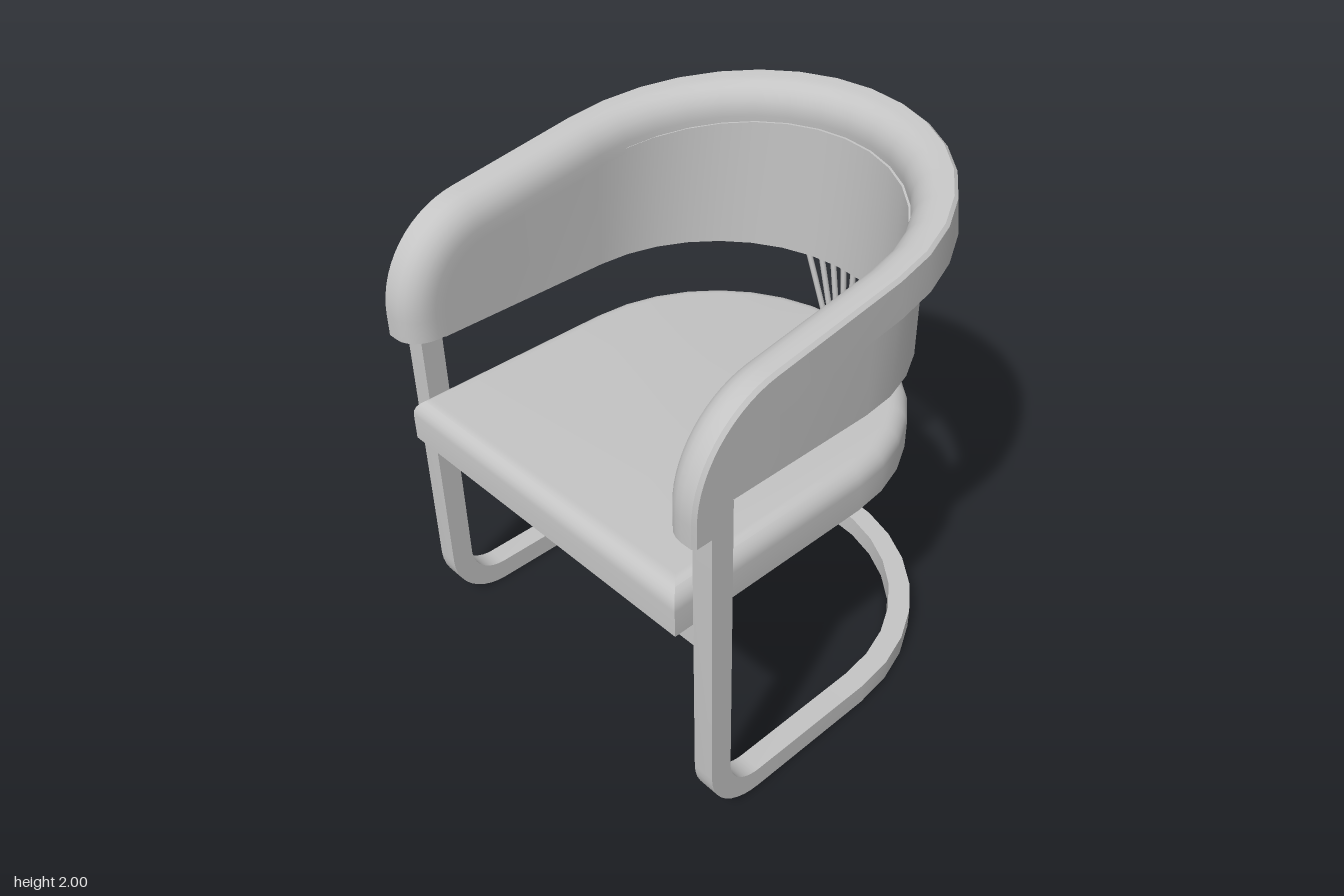
import * as THREE from 'three';
import { toCreasedNormals } from 'three/addons/utils/BufferGeometryUtils.js';

const V = (x, y, z) => new THREE.Vector3(x, y, z);
const CZ = -0.03; // centre of the rounded back in plan
const ARC = 16; // segments around the back
const HALF = Math.PI / 2;

// Skin a row of convex rings, close both ends and face everything outwards
function loft(rings) {
  const n = rings[0].length, tris = [];
  for (let i = 0; i < rings.length - 1; i++) {
    for (let j = 0; j < n; j++) {
      const k = (j + 1) % n;
      const a = rings[i][j], b = rings[i][k], c = rings[i + 1][k], d = rings[i + 1][j];
      tris.push([a, b, c], [a, c, d]);
    }
  }
  const first = rings[0], last = rings[rings.length - 1];
  for (let j = 1; j < n - 1; j++) {
    tris.push([first[0], first[j + 1], first[j]], [last[0], last[j], last[j + 1]]);
  }
  let volume = 0;
  for (const [a, b, c] of tris) volume += a.dot(b.clone().cross(c));
  if (volume < 0) tris.forEach((t) => t.reverse());
  const geometry = new THREE.BufferGeometry().setFromPoints(tris.flat());
  return toCreasedNormals(geometry, 0.6);
}

// Stations run down one side, round the back and up the other side.
// Each has an origin (z, y), a normal angle phi and a plan angle a.
function stations(side) {
  const list = side.map((s) => ({ ...s, a: HALF }));
  const end = side[side.length - 1];
  for (let i = 1; i < ARC; i++) list.push({ ...end, a: HALF - (Math.PI * i) / ARC });
  return list.concat(side.map((s) => ({ ...s, a: -HALF })).reverse());
}

// Sweep a section of (radius, height) points; dir is +1 for upward paths, -1 for downward
function sweep(side, section, dir) {
  return loft(stations(side).map(({ z, y, phi, a }) => section.map(([r, n]) => {
    const c = Math.cos(phi), s = Math.sin(phi), t = r * Math.cos(a) * dir;
    return V(r * Math.sin(a), y + c * t + s * n, z - s * t + c * n);
  })));
}

// A bend of the side path around (z, y)
function bend(z, y, radius, toPhi, steps) {
  return Array.from({ length: steps + 1 }, (_, i) => {
    const phi = (toPhi * i) / steps;
    return { z: z + radius * Math.cos(phi), y: y + radius * Math.sin(phi), phi };
  });
}

export function createModel() {
  const group = new THREE.Group();
  const grey = new THREE.MeshStandardMaterial({ color: 0xc4c4c4 });
  grey.name = 'light grey';
  const add = (name, geometry, parent = group) => {
    const mesh = new THREE.Mesh(geometry, grey);
    mesh.name = name;
    parent.add(mesh);
    return mesh;
  };

  // Legs and floor hoop in one bent bar
  const legPath = [{ z: 0.755, y: 1.42, phi: 0 }, ...bend(0.525, 0.23, 0.23, -HALF, 10),
    { z: CZ, y: 0, phi: -HALF }];
  add('legsAndBase', sweep(legPath, [[0.702, 0], [0.787, 0], [0.787, -0.088], [0.702, -0.088]], -1));

  // Padded armrests and sloping top rail
  const tilt = THREE.MathUtils.degToRad(80.9);
  const armPath = [{ z: 0.83, y: 1.32, phi: 0 }, ...bend(0.44, 1.405, 0.39, tilt, 14)];
  const armEnd = armPath[armPath.length - 1];
  const railTop = (z) => armEnd.y + (armEnd.z - z) / Math.tan(tilt);
  armPath.push({ z: CZ, y: railTop(CZ), phi: tilt });
  const padSection = [[0.635, -0.155], [0.79, -0.155], [0.79, -0.012], [0.778, 0]];
  for (let i = 0; i <= 6; i++) {
    const t = (HALF * i) / 6;
    padSection.push([0.735 - 0.1 * Math.sin(t), -0.11 + 0.11 * Math.cos(t)]);
  }
  add('armrestAndTopRail', sweep(armPath, padSection, 1));

  // Curved panel hanging below the rail
  const panelTop = (z) => 0.02 + (z > 0.477
    ? 1.405 + Math.sqrt(Math.max(0, 0.235 ** 2 - (z - 0.44) ** 2))
    : railTop(z) - 0.157);
  const panelSide = [0.69, 0.672, 0.655, 0.63, 0.59, 0.54, 0.477, CZ].map((z) => ({ z }));
  add('backPanel', loft(stations(panelSide).map(({ z, a }) => {
    const at = (r, y) => V(r * Math.sin(a), y, z - r * Math.cos(a));
    const top = panelTop(z - 0.67 * Math.cos(a));
    return [at(0.638, 1.315), at(0.7, 1.315), at(0.7, top), at(0.638, top)];
  })));

  // Seat cushion with a rounded upper edge
  const seatRing = (inset, y) => {
    const r = 0.7 - inset, ring = [V(r, y, 0.83 - inset)];
    for (let i = 0; i <= ARC; i++) {
      const a = HALF - (Math.PI * i) / ARC;
      ring.push(V(r * Math.sin(a), y, CZ - r * Math.cos(a)));
    }
    return [...ring, V(-r, y, 0.83 - inset)];
  };
  const seatRings = [seatRing(0, 0.905)];
  for (let i = 0; i <= 6; i++) {
    const t = (HALF * i) / 6;
    seatRings.push(seatRing(0.07 * (1 - Math.cos(t)), 1.01 + 0.07 * Math.sin(t)));
  }
  add('seat', loft(seatRings));

  // Bar under the front of the seat
  add('frontCrossbar', new THREE.BoxGeometry(1.41, 0.09, 0.086)).position.set(0, 0.86, 0.712);

  // Fan of thin rods from the floor hoop to the top rail
  const rods = new THREE.Group();
  rods.name = 'backRods';
  group.add(rods);
  const rod = (from, to) => {
    const along = to.clone().sub(from);
    const mesh = add('rod', new THREE.CylinderGeometry(0.0115, 0.0115, along.length(), 8), rods);
    mesh.position.copy(from).addScaledVector(along, 0.5);
    mesh.quaternion.setFromUnitVectors(V(0, 1, 0), along.normalize());
  };
  for (let i = -4; i <= 4; i++) {
    const x = i * 0.0228, topX = i * 0.094;
    const topZ = CZ - Math.sqrt(0.755 ** 2 - topX ** 2);
    const knee = V(x, 0.91, -0.757);
    rod(V(x, 0.08, -0.757), knee);
    rod(knee, V(topX, railTop(topZ) - 0.14, topZ));
  }
  return group;
}
